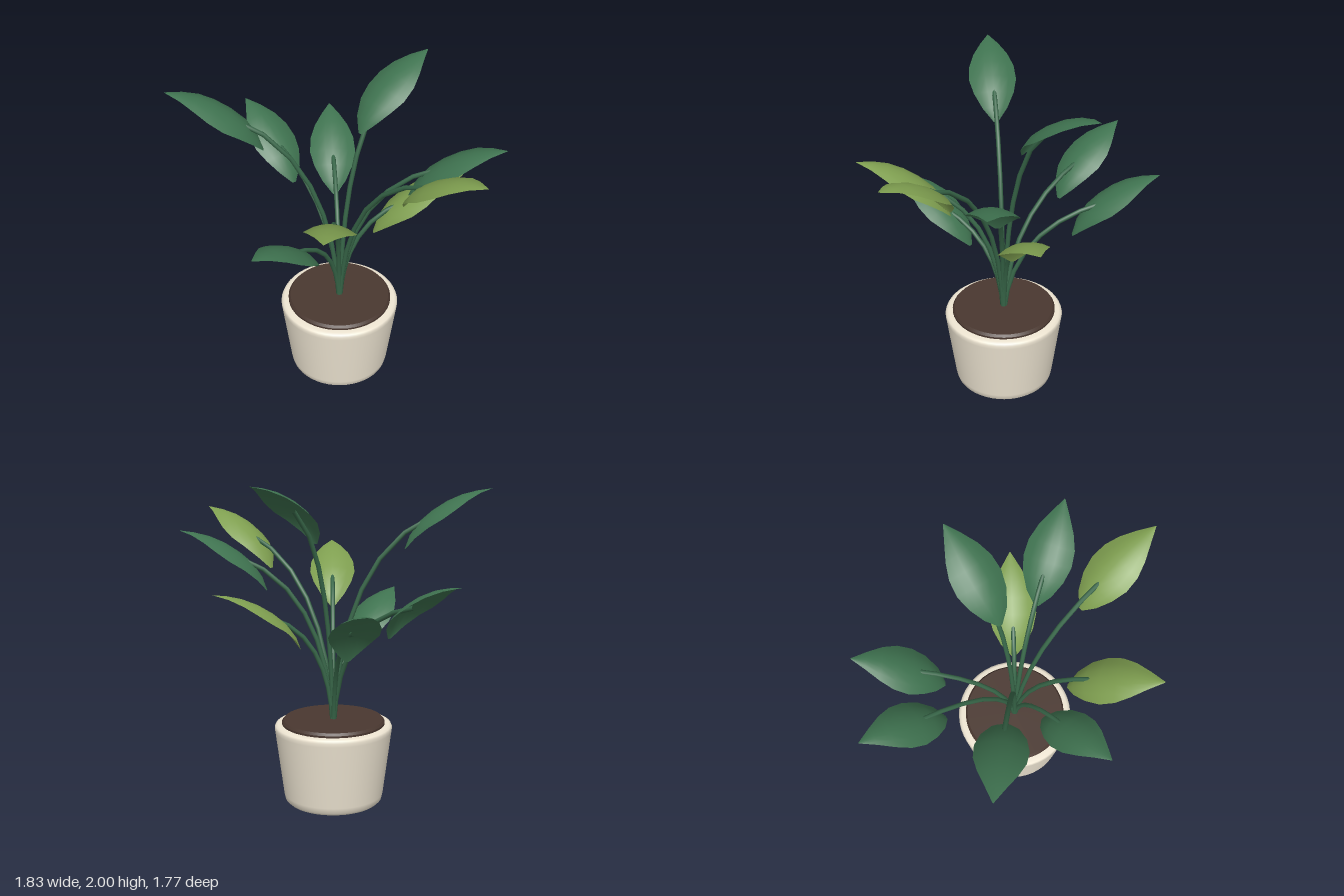
import * as THREE from 'three';

const mat = (color, side = THREE.FrontSide) => new THREE.MeshStandardMaterial({ color, side });

// Leaf cross-sections from base to tip: [outward, up, half width, edge droop]
const STATIONS = [
  [0, 0, 0.012, 0],
  [0.03, 0.08, 0.075, 0.018],
  [0.09, 0.165, 0.122, 0.038],
  [0.17, 0.232, 0.145, 0.05],
  [0.26, 0.288, 0.138, 0.046],
  [0.35, 0.326, 0.105, 0.03],
  [0.44, 0.348, 0.055, 0.012],
  [0.53, 0.36, 0.002, 0],
];

// Arched blade pointing along +x, with its sides drooping a little from the midrib
function leafGeometry() {
  const cols = 6, pos = [], index = [];
  STATIONS.forEach(([r, y, w, droop], i) => {
    const a = STATIONS[Math.max(i - 1, 0)];
    const b = STATIONS[Math.min(i + 1, STATIONS.length - 1)];
    const t = new THREE.Vector2(b[0] - a[0], b[1] - a[1]).normalize();
    for (let j = 0; j <= cols; j++) {
      const u = (j / cols) * 2 - 1;
      const d = droop * u * u;
      pos.push(r + t.y * d, y - t.x * d, u * w);
      if (i && j) {
        const q = i * (cols + 1) + j, p = q - cols - 1;
        index.push(p - 1, p, q, p - 1, q, q - 1);
      }
    }
  });
  const g = new THREE.BufferGeometry();
  g.setAttribute('position', new THREE.Float32BufferAttribute(pos, 3));
  g.setIndex(index);
  g.computeVertexNormals();
  return g;
}

// Stem bending from the soil outward, piercing the blade and ending just under it
function stemGeometry(baseR, baseY) {
  const endR = baseR + 0.185, endY = baseY + 0.205, y0 = 0.5;
  const curve = new THREE.QuadraticBezierCurve3(
    new THREE.Vector3(0.004, y0, 0),
    new THREE.Vector3(endR * 0.08, y0 + (endY - y0) * 0.83, 0),
    new THREE.Vector3(endR, endY, 0),
  );
  return new THREE.TubeGeometry(curve, 7, 0.014, 8);
}

export function createModel() {
  const model = new THREE.Group();
  const cx = 0.037, cz = 0.068;

  const lathe = (name, points, material) => {
    const g = new THREE.LatheGeometry(points.map(([x, y]) => new THREE.Vector2(x, y)), 48);
    const mesh = new THREE.Mesh(g, material);
    mesh.name = name;
    mesh.position.set(cx, 0, cz);
    model.add(mesh);
  };

  // Tapered pot with softened foot and rim
  lathe('pot', [
    [0, 0], [0.255, 0], [0.265, 0], [0.285, 0.008], [0.303, 0.025], [0.311, 0.06],
    [0.363, 0.465], [0.366, 0.488], [0.36, 0.502], [0.345, 0.51], [0.3, 0.51],
  ], mat(0xefe6d3, THREE.DoubleSide));

  // Soil disc with a small bevel
  lathe('soil', [
    [0.32, 0.49], [0.32, 0.522], [0.32, 0.522], [0.308, 0.537], [0.308, 0.537], [0, 0.537],
  ], mat(0x4a3830));

  const green = mat(0x3f7350, THREE.DoubleSide);
  const lightGreen = mat(0x7f9f50, THREE.DoubleSide);
  const stemGreen = mat(0x376648);
  const blade = leafGeometry();

  // Leaf tips: [x, y, z, light]
  const tips = [
    [-0.915, 1.95, -0.1, false],
    [0.61, 2.0, -0.3, false],
    [0.655, 1.8, 0.875, true],
    [0.912, 1.7, 0.39, false],
    [0.772, 1.35, 0.068, true],
    [-0.18, 1.55, 0.88, true],
    [-0.53, 1.26, 0.585, false],
    [-0.43, 1.48, -0.82, false],
    [0.12, 1.36, -0.885, false],
  ];
  tips.forEach(([x, y, z, light], i) => {
    const dx = x - cx, dz = z - cz;
    const baseR = Math.hypot(dx, dz) - 0.53, baseY = y - 0.36;
    const stalk = new THREE.Group();
    stalk.name = `stalk${i + 1}`;
    stalk.position.set(cx, 0, cz);
    stalk.rotation.y = Math.atan2(-dz, dx);

    const leaf = new THREE.Mesh(blade, light ? lightGreen : green);
    leaf.name = 'leaf';
    leaf.position.set(baseR, baseY, 0);
    const stem = new THREE.Mesh(stemGeometry(baseR, baseY), stemGreen);
    stem.name = 'stem';
    stalk.add(leaf, stem);
    model.add(stalk);
  });

  return model;
}
